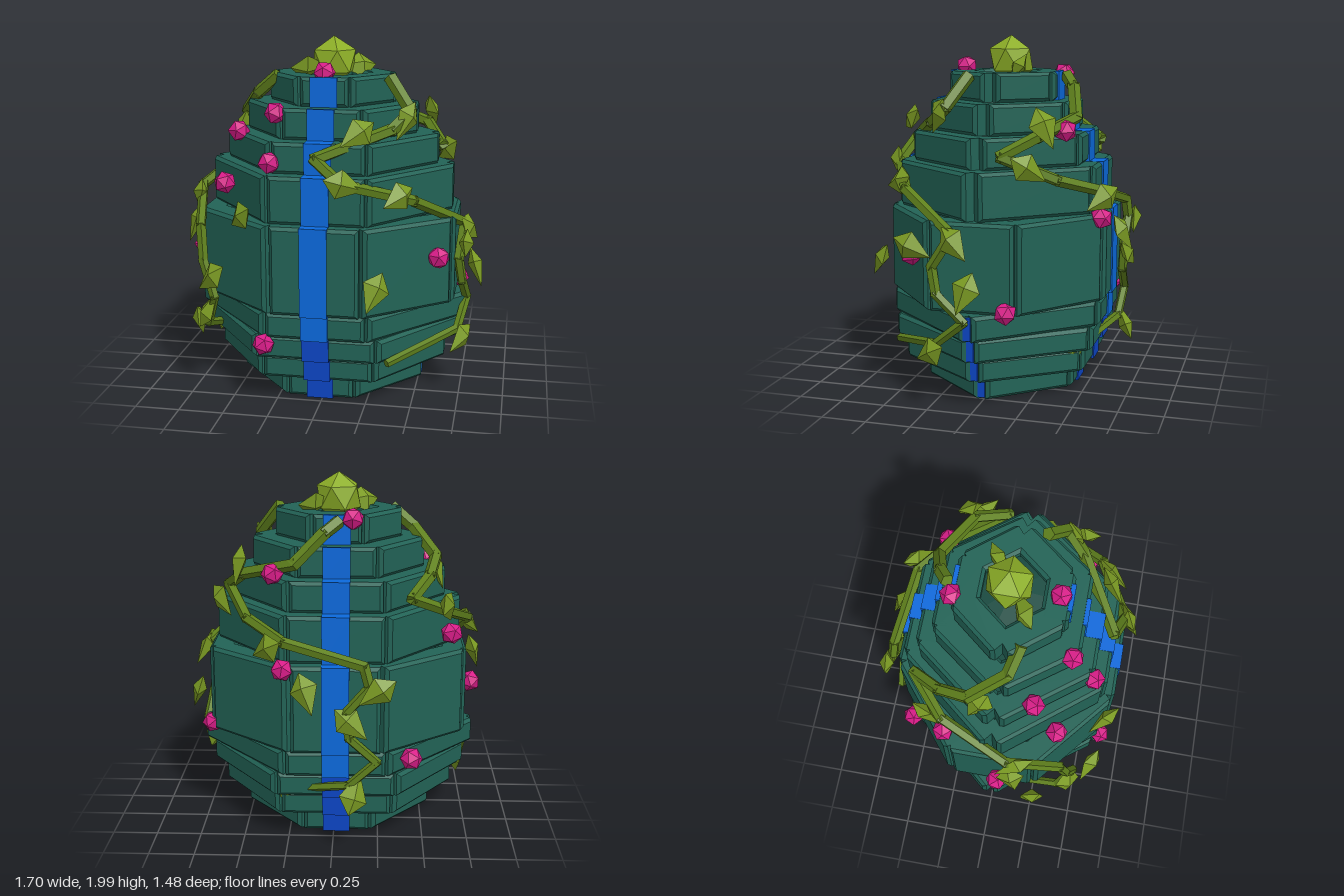
import * as THREE from 'three';

const mat = (name, color, extra = {}) => Object.assign(new THREE.MeshStandardMaterial({ color, ...extra }), { name });

export function createModel() {
  const M = {
    stone: mat('stone green', 0x226356),
    core: mat('core green', 0x1b4c42),
    blue: mat('stripe blue', 0x0b69dc),
    deepBlue: mat('deep stripe blue', 0x0c45c4),
    vine: mat('vine green', 0x5f801c, { flatShading: true }),
    leaf: mat('leaf green', 0x7b9b23),
    crown: mat('crown green', 0x8cae27),
    pink: mat('flower pink', 0xd81c88),
  };
  const model = new THREE.Group();
  model.name = 'overgrownEgg';
  const add = (parent, geo, material, name, x = 0, y = 0, z = 0) => {
    const m = new THREE.Mesh(geo, material);
    m.name = name;
    m.position.set(x, y, z);
    parent.add(m);
    return m;
  };
  const V = (a) => new THREE.Vector3(...a);

  // Egg body, slightly off centre
  const egg = new THREE.Group();
  egg.name = 'egg';
  egg.position.set(-0.015, 0, 0.01);
  model.add(egg);

  // Inner core
  const profile = [[0, 0.06], [0.22, 0.09], [0.36, 0.18], [0.47, 0.4], [0.52, 0.75],
    [0.47, 1.1], [0.36, 1.4], [0.25, 1.62], [0.19, 1.75], [0, 1.79]];
  const coreGeo = new THREE.LatheGeometry(profile.map(([r, y]) => new THREE.Vector2(r, y)), 10).toNonIndexed();
  coreGeo.computeVertexNormals();
  add(egg, coreGeo, M.core, 'core').scale.set(1.12, 1, 0.95);

  // Chamfered wall block whose outer face runs from p to q, left to right seen from outside
  const block = ([px, pz], [qx, qz], y0, y1) => {
    const b = 0.018, gap = 0.018, depth = 0.15;
    const L = Math.hypot(qx - px, qz - pz) - gap * 2, h = y1 - y0;
    const x = L / 2 - b, y = h / 2 - b;
    const shape = new THREE.Shape([[-x, -y], [x, -y], [x, y], [-x, y]].map(([u, v]) => new THREE.Vector2(u, v)));
    const geo = new THREE.ExtrudeGeometry(shape, {
      depth: depth - 2 * b, bevelEnabled: true, bevelSegments: 1, bevelSize: b, bevelThickness: b,
    });
    geo.translate(0, 0, b - depth);
    const m = add(egg, geo, M.stone, 'wallBlock', (px + qx) / 2, (y0 + y1) / 2, (pz + qz) / 2);
    m.rotation.y = Math.atan2(-(qz - pz), qx - px);
  };

  // Rings: bottom, top, side reach X, front reach Z, front half width, side half width
  const rings = [
    [0.01, 0.15, 0.555, 0.44, 0.2, 0.02],
    [0.15, 0.28, 0.685, 0.53, 0.32, 0.02],
    [0.28, 0.41, 0.755, 0.58, 0.34, 0.02],
    [0.41, 0.55, 0.805, 0.61, 0.29, 0.02],
    [0.55, 1.04, 0.725, 0.63, 0.26, 0.25],
    [1.04, 1.3, 0.715, 0.57, 0.28, 0.03],
    [1.3, 1.47, 0.625, 0.49, 0.27, 0.03],
    [1.47, 1.64, 0.505, 0.4, 0.23, 0.03],
    [1.64, 1.8, 0.375, 0.31, 0.15, 0.03],
  ];
  rings.forEach(([y0, y1, X, Z, w, s], i) => {
    const p = [[-w, Z], [w, Z], [X, s], [X, -s], [w, -Z], [-w, -Z], [-X, -s], [-X, s]];
    p.forEach((a, k) => {
      const narrowSide = s < 0.1 && (k === 2 || k === 6);
      if (!narrowSide) block(a, p[(k + 1) % 8], y0, y1);
    });
    // Blue bands front and back; the upper two rings carry them on the face only
    const h = y1 - y0 + 0.004, d = i > 6 ? 0.025 : 0.115;
    for (const side of [1, -1]) {
      add(egg, new THREE.BoxGeometry(0.15, h, d), i < 3 ? M.deepBlue : M.blue, 'blueBand',
        0, (y0 + y1) / 2, side * (Z + 0.008 - d / 2));
    }
    // Narrow band recessed in the lower left seam
    if (i < 4) add(egg, new THREE.BoxGeometry(0.09, h - 0.02, 0.045), M.deepBlue, 'sideSeamBand',
      X - 0.07, (y0 + y1) / 2, 0.008);
  });

  // Vines made of five-sided segments
  const vines = [
    [[0.33, 1.78, 0.14], [0.45, 1.62, 0.23], [0.36, 1.53, 0.34], [-0.02, 1.4, 0.57], [0.13, 1.28, 0.62],
      [0.5, 1.17, 0.45], [0.75, 0.98, 0.1], [0.73, 0.8, 0.22], [0.75, 0.66, 0.19], [0.77, 0.52, 0.03],
      [0.73, 0.38, 0.2], [0.38, 0.28, 0.54]],
    [[-0.02, 1.77, -0.34], [0.05, 1.72, -0.39], [0.21, 1.56, -0.44], [0.5, 1.48, -0.3], [0.6, 1.38, -0.12],
      [0.47, 1.25, -0.4], [0.26, 1.17, -0.6], [-0.17, 1.06, -0.66], [-0.2, 0.95, -0.67], [-0.07, 0.8, -0.67],
      [-0.09, 0.66, -0.66], [-0.24, 0.52, -0.65], [-0.09, 0.38, -0.64], [0.32, 0.28, -0.47]],
    [[-0.32, 1.78, 0.1], [-0.44, 1.68, 0.06], [-0.56, 1.55, -0.14], [-0.52, 1.47, -0.3], [-0.42, 1.38, -0.46],
      [-0.62, 1.27, -0.28], [-0.77, 1.14, 0.1], [-0.7, 0.97, 0.4], [-0.68, 0.78, 0.44], [-0.61, 0.58, 0.48],
      [-0.67, 0.4, 0.4], [-0.66, 0.28, 0.03]],
  ];
  vines.forEach((pts, n) => {
    const vine = new THREE.Group();
    vine.name = 'vine' + (n + 1);
    model.add(vine);
    const r = (t) => 0.038 - 0.014 * (t / (pts.length - 1));
    for (let i = 0; i + 1 < pts.length; i++) {
      const a = V(pts[i]), b = V(pts[i + 1]), d = b.clone().sub(a);
      const mid = a.add(b).multiplyScalar(0.5);
      const seg = add(vine, new THREE.CylinderGeometry(r(i + 1), r(i), d.length() + 0.025, 5), M.vine, 'vineSegment', ...mid);
      seg.quaternion.setFromUnitVectors(new THREE.Vector3(0, 1, 0), d.normalize());
    }
  });

  // Leaves: pointed rhombic solids facing outward; x, y, z, spin
  const leafGeo = new THREE.OctahedronGeometry(1).scale(0.08, 0.12, 0.042);
  const lp = leafGeo.attributes.position;
  for (let i = 0; i < lp.count; i++) if (Math.abs(lp.getY(i)) < 0.01) lp.setY(i, 0.03);
  leafGeo.computeVertexNormals();
  const leaves = [
    [0.2, 1.53, 0.52, -1], [0.15, 1.28, 0.63, 1.3], [0.42, 1.2, 0.52, -1.2], [0.43, 1.57, 0.28, -0.6],
    [0.78, 0.94, 0.08, 0.8], [0.78, 0.91, 0.31, 1.2], [0.82, 0.69, 0.01, -0.3], [0.75, 0.33, 0.23, -1.1],
    [0.32, 0.72, 0.68, -0.5], [-0.42, 1.08, 0.6, -1], [-0.6, 0.72, 0.57, -0.8], [-0.65, 0.5, 0.46, 2.9],
    [-0.81, 0.92, 0.14, 0.2], [-0.77, 0.35, 0.25, -0.5], [-0.57, 1.46, -0.08, -0.4],
    [0.62, 1.32, -0.28, 1], [0.52, 1.53, -0.34, 0.3], [0.35, 1.14, -0.62, -1.1],
    [0.14, 0.92, -0.7, 0.4], [-0.24, 0.93, -0.7, -1], [-0.1, 0.75, -0.69, 0.8], [-0.12, 0.34, -0.67, 2.8],
    [0.3, 0.29, -0.47, 1.5], [-0.62, 1.31, -0.36, 0.7], [-0.78, 1.1, 0.15, -1.2], [-0.7, 0.28, 0.03, 1.5],
  ];
  const foliage = new THREE.Group();
  foliage.name = 'leaves';
  model.add(foliage);
  leaves.forEach(([x, y, z, spin], i) => {
    const m = add(foliage, leafGeo, M.leaf, 'leaf', x, y, z);
    m.lookAt(x * 2, y + 0.1, z * 2);
    m.rotateZ(spin);
    m.rotateX(i % 2 ? 0.25 : -0.2);
  });

  // Flower buds
  const budGeo = new THREE.IcosahedronGeometry(0.064);
  const buds = [
    [-0.02, 1.82, 0.26], [-0.27, 1.61, 0.37], [-0.28, 1.36, 0.5], [-0.52, 1.48, 0.21], [-0.57, 1.21, 0.35],
    [-0.3, 0.37, 0.61], [-0.79, 0.76, 0.05], [0.63, 0.84, 0.37], [0.71, 0.57, -0.18], [-0.1, 1.78, -0.3],
    [0.33, 1.5, -0.41], [0.27, 1.02, -0.6], [-0.65, 1.14, -0.27], [-0.43, 0.5, -0.54],
  ];
  const flowers = new THREE.Group();
  flowers.name = 'flowers';
  model.add(flowers);
  buds.forEach(([x, y, z], i) => {
    add(flowers, budGeo, M.pink, 'flowerBud', x, y, z).rotation.set(i, i * 0.7, 0);
  });

  // Crown bud standing on a point, with two pointed leaves
  add(model, new THREE.IcosahedronGeometry(0.138), M.crown, 'crownBud', -0.015, 1.862, -0.01).rotation.z = -0.5536;
  for (const s of [1, -1]) {
    const m = add(model, leafGeo, M.leaf, 'crownLeaf', s * 0.12 - 0.015, 1.83, -s * 0.08);
    m.quaternion.setFromUnitVectors(new THREE.Vector3(0, 1, 0), new THREE.Vector3(s * 0.84, 0, -s * 0.54).normalize());
  }
  return model;
}
